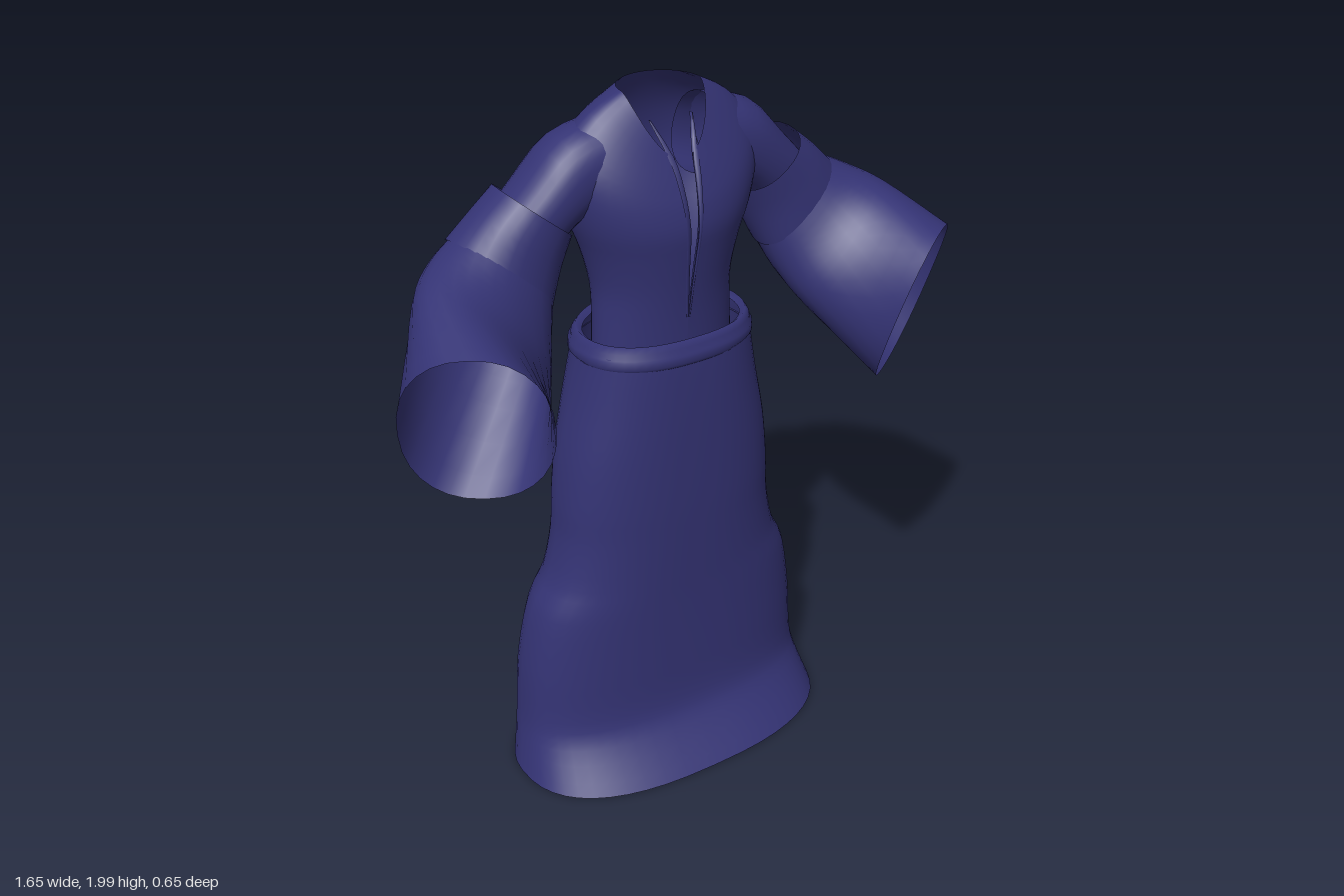
import * as THREE from 'three';

const cloth = new THREE.MeshStandardMaterial({ color: 0x343374, side: THREE.DoubleSide });
cloth.name = 'indigo cloth';

// Catmull-Rom refinement of rows of numbers, k steps per gap
function refine(rows, k) {
  const out = [];
  const last = rows.length - 1;
  for (let s = 0; s <= last * k; s++) {
    const i = Math.min(Math.floor(s / k), last - 1);
    const t = s / k - i;
    const a = rows[Math.max(i - 1, 0)], b = rows[i], c = rows[i + 1], d = rows[Math.min(i + 2, last)];
    out.push(b.map((v, j) => v + 0.5 * t * (c[j] - a[j] + t * (2 * a[j] - 5 * v + 4 * c[j] - d[j]
      + t * (3 * (v - c[j]) + d[j] - a[j])))));
  }
  return out;
}

// Skin a list of rings, each an array of [x, y, z]
function loft(name, rings, closed = true) {
  const n = rings[0].length, index = [];
  for (let r = 0; r < rings.length - 1; r++) {
    for (let i = 0; i < (closed ? n : n - 1); i++) {
      const j = (i + 1) % n, a = r * n + i, b = r * n + j;
      index.push(a, b, b + n, a, b + n, a + n);
    }
  }
  const geo = new THREE.BufferGeometry();
  geo.setAttribute('position', new THREE.Float32BufferAttribute(rings.flat(2), 3));
  geo.setIndex(index);
  geo.computeVertexNormals();
  const mesh = new THREE.Mesh(geo, cloth);
  mesh.name = name;
  return mesh;
}

const power = (v, p) => Math.sign(v) * Math.abs(v) ** p;

// Body ring: [half width, front z, back z, side y, front y, back y, slit half width]
function bodyRing([w, zf, zb, ys, yf, yb, slit = 0], n, frontPower = 2, open = false) {
  const pts = [], mid = (zf + zb) / 2, depth = (zf - zb) / 2;
  const gap = open ? Math.asin(Math.min(Math.max(slit, 0) / w, 1)) : 0;
  for (let i = 0; i < n; i++) {
    const a = open ? gap + (i / (n - 1)) * (2 * Math.PI - 2 * gap) : (i / n) * 2 * Math.PI;
    const c = Math.cos(a), e = c > 0 ? 2 / frontPower : 1;
    const blend = Math.abs(c) ** 1.6;
    pts.push([w * power(Math.sin(a), e), ys + ((c > 0 ? yf : yb) - ys) * blend, mid + depth * power(c, e)]);
  }
  return pts;
}

// Sleeve ring: centre, across vector, up vector (nine numbers)
function armRing([cx, cy, cz, ux, uy, uz, vx, vy, vz], side, n = 28) {
  const pts = [];
  for (let i = 0; i < n; i++) {
    const a = side * (i / n) * 2 * Math.PI;
    const u = power(Math.cos(a), 0.9), v = power(Math.sin(a), 0.9);
    pts.push([side * (cx + u * ux + v * vx), cy + u * uy + v * vy, cz + u * uz + v * vz]);
  }
  return pts;
}

export function createModel() {
  const robe = new THREE.Group();
  robe.name = 'robe';

  // Skirt: [half width, front z, back z, y]
  const skirt = refine([
    [0.497, 0.26, -0.325, 0.01], [0.472, 0.17, -0.308, 0.12], [0.462, 0.138, -0.3, 0.2],
    [0.45, 0.133, -0.294, 0.36], [0.415, 0.133, -0.275, 0.54], [0.365, 0.135, -0.26, 0.64],
    [0.335, 0.138, -0.256, 0.77], [0.328, 0.14, -0.256, 0.88], [0.31, 0.14, -0.256, 1.03],
    [0.278, 0.138, -0.255, 1.18], [0.255, 0.134, -0.24, 1.3], [0.25, 0.13, -0.23, 1.34],
  ], 3);
  robe.add(loft('skirt', skirt.map(([w, f, b, y]) => bodyRing([w, f, b, y, y, y], 48, 2.5))));

  // Belt: a folded band round the waist
  const belt = [
    [0.252, 0.134, -0.238, 1.305], [0.259, 0.141, -0.245, 1.315], [0.258, 0.14, -0.243, 1.335],
    [0.252, 0.134, -0.236, 1.338], [0.25, 0.132, -0.232, 1.355], [0.238, 0.122, -0.218, 1.373],
    [0.222, 0.108, -0.2, 1.36],
  ];
  robe.add(loft('belt', belt.map(([w, f, b, y]) => bodyRing([w, f, b, y, y, y], 48, 2.4))));

  // Bodice: slit at the front, neckline dipping forward
  const bodice = refine([
    [0.205, 0.088, -0.165, 1.3, 1.3, 1.3, 0], [0.2, 0.092, -0.17, 1.41, 1.41, 1.41, 0],
    [0.201, 0.1, -0.184, 1.5, 1.5, 1.5, 0.004], [0.225, 0.112, -0.2, 1.6, 1.59, 1.6, 0.008],
    [0.258, 0.12, -0.215, 1.69, 1.66, 1.69, 0.011], [0.28, 0.112, -0.222, 1.79, 1.72, 1.78, 0.015],
    [0.265, 0.098, -0.207, 1.88, 1.765, 1.87, 0.018], [0.195, 0.083, -0.18, 1.955, 1.805, 1.94, 0.022],
    [0.112, 0.068, -0.145, 2.0, 1.84, 2.0, 0.026],
  ], 3);
  robe.add(loft('bodice', bodice.map((r) => bodyRing(r, 49, 2, true)), false));

  for (const side of [1, -1]) {
    const arm = new THREE.Group();
    arm.name = side > 0 ? 'leftSleeve' : 'rightSleeve';

    // Fitted shoulder running into the outer sleeve
    const shoulder = refine([
      [0.12, 1.845, -0.07, 0, 0, 0.1, 0.025, 0.1, 0], [0.235, 1.81, -0.075, 0, 0, 0.107, 0.045, 0.098, 0],
      [0.318, 1.745, -0.08, 0, 0, 0.107, 0.058, 0.068, 0], [0.41, 1.65, -0.085, 0, 0, 0.1, 0.07, 0.055, 0],
    ], 3);
    arm.add(loft('shoulder', shoulder.map((r) => armRing(r, side))));

    // Upper band of the wide sleeve
    const band = refine([
      [0.345, 1.73, -0.085, 0, 0, 0.118, 0.085, 0.07, 0], [0.392, 1.665, -0.085, 0, 0, 0.122, 0.1, 0.085, 0],
      [0.445, 1.59, -0.08, -0.02, 0, 0.125, 0.113, 0.1, 0],
    ], 3);
    arm.add(loft('upperBand', band.map((r) => armRing(r, side))));

    // Flared lower sleeve opening forward
    const flare = refine([
      [0.432, 1.605, -0.08, -0.015, 0, 0.119, 0.105, 0.094, 0],
      [0.49, 1.54, -0.045, -0.045, 0, 0.128, 0.118, 0.125, 0.01],
      [0.555, 1.47, 0.03, -0.085, 0, 0.125, 0.11, 0.158, 0.025],
      [0.665, 1.335, 0.2, -0.155, 0.01, 0.11, 0.035, 0.23, 0.06],
    ], 4);
    arm.add(loft('flaredSleeve', flare.map((r) => armRing(r, side))));
    robe.add(arm);

    // Narrow facing along the slit, with a loose tip at the neck: [x, y, z, width]
    const facing = refine([
      [0.002, 1.42, 0.097, 0.004], [0.008, 1.55, 0.11, 0.007], [0.014, 1.68, 0.124, 0.01],
      [0.021, 1.78, 0.102, 0.013], [0.03, 1.85, 0.068, 0.014], [0.06, 1.93, 0.012, 0.004],
    ], 3);
    robe.add(loft('neckFacing', facing.map(([x, y, z, w]) => [
      [side * x, y, z - 0.012], [side * x, y, z], [side * (x + w), y, z - 0.004],
    ]), false));
  }
  return robe;
}
